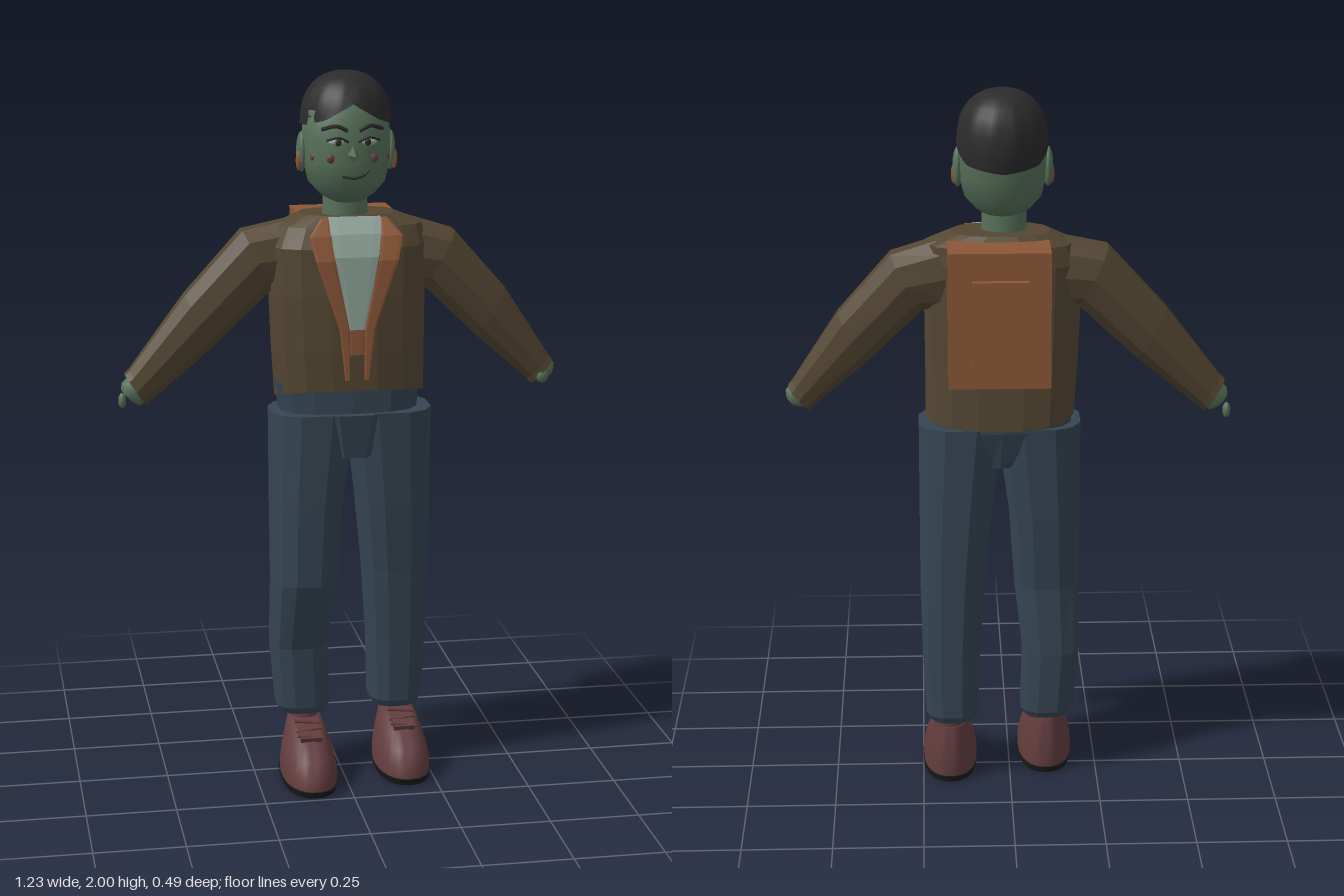
import * as THREE from 'three';
import { toCreasedNormals } from 'three/addons/utils/BufferGeometryUtils.js';

const mat = (name, color) => {
  const m = new THREE.MeshStandardMaterial({ color });
  m.name = name;
  return m;
};

export function createModel() {
  const skin = mat('skin', 0x567059), jacket = mat('jacket', 0x544733), denim = mat('denim', 0x364553);
  const leather = mat('shoeLeather', 0x633d3f), orange = mat('orangeBrown', 0x8c5738);
  const hairM = mat('hair', 0x2b2b2c), shirtM = mat('shirt', 0x90a59c), sole = mat('sole', 0x191919);
  const model = new THREE.Group();
  model.name = 'walkingFigure';

  const add = (name, geo, material, parent = model) => {
    const m = new THREE.Mesh(geo, material);
    m.name = name;
    parent.add(m);
    return m;
  };

  // Closed skin over rings of points, with both ends capped
  const FLAT = 0.02, SMOOTH = 0.9;
  function skinRings(rings, crease) {
    const n = rings[0].length, pos = [], idx = [];
    rings.forEach(r => r.forEach(p => pos.push(p.x, p.y, p.z)));
    for (let i = 0; i < rings.length - 1; i++) {
      for (let j = 0; j < n; j++) {
        const a = i * n + j, b = i * n + (j + 1) % n;
        idx.push(a, a + n, b, b, a + n, b + n);
      }
    }
    [0, rings.length - 1].forEach((r, end) => {
      const c = new THREE.Vector3();
      rings[r].forEach(p => c.addScaledVector(p, 1 / n));
      const k = pos.length / 3;
      pos.push(c.x, c.y, c.z);
      for (let j = 0; j < n; j++) {
        const a = r * n + j, b = r * n + (j + 1) % n;
        if (end) idx.push(k, b, a); else idx.push(k, a, b);
      }
    });
    const g = new THREE.BufferGeometry();
    g.setAttribute('position', new THREE.Float32BufferAttribute(pos, 3));
    g.setIndex(idx);
    return toCreasedNormals(g, crease);
  }

  // Section: two edge points in the front plane, back and front z, slope of y along z
  function loft(sections, n = 10, p = 1, crease = FLAT) {
    const pow = v => Math.sign(v) * Math.pow(Math.abs(v), p);
    return skinRings(sections.map(([x1, y1, x2, y2, z0, z1, k = 0]) =>
      Array.from({ length: n }, (_, j) => {
        const t = (j + 0.5) / n * Math.PI * 2, c = pow(Math.cos(t)), s = pow(Math.sin(t));
        const z = (z0 + z1) / 2 + s * (z1 - z0) / 2;
        return new THREE.Vector3((x1 + x2) / 2 + c * (x2 - x1) / 2, (y1 + y2) / 2 + c * (y2 - y1) / 2 + k * z, z);
      })), crease);
  }
  // Level section: height, x range, z range, slope
  const L = (y, x1, x2, z0, z1, k) => [x1, y, x2, y, z0, z1, k];

  const ball = (name, x, y, z, rx, ry, rz, material) => {
    const m = add(name, new THREE.SphereGeometry(1, 20, 12), material);
    m.position.set(x, y, z);
    m.scale.set(rx, ry, rz);
    return m;
  };
  const tube = (name, pts, r, material) => add(name, new THREE.TubeGeometry(
    new THREE.CatmullRomCurve3(pts.map(p => new THREE.Vector3(...p))), 14, r, 6), material);

  // Trousers
  add('rightTrouserLeg', loft([
    L(0.18, -0.17, -0.04, -0.08, 0.045), L(0.2, -0.185, -0.03, -0.09, 0.055), L(0.38, -0.2, -0.035, -0.095, 0.062),
    L(0.58, -0.2, -0.012, -0.08, 0.12), L(0.8, -0.2, 0.003, -0.1, 0.12), L(1.07, -0.2, 0.04, -0.115, 0.118)], 12, 0.75), denim);
  add('leftTrouserLeg', loft([
    L(0.18, 0.1, 0.23, -0.11, 0.03), L(0.2, 0.088, 0.242, -0.118, 0.04), L(0.38, 0.083, 0.25, -0.118, 0.047),
    L(0.6, 0.068, 0.255, -0.12, 0.065), L(0.8, 0.048, 0.255, -0.12, 0.09), L(1.07, 0.015, 0.255, -0.12, 0.112)], 12, 0.75), denim);
  add('waist', loft([L(0.95, -0.02, 0.075, -0.09, 0.08), L(1.06, -0.17, 0.215, -0.118, 0.1),
    L(1.15, -0.185, 0.225, -0.115, 0.1)], 14, 0.75), denim);
  add('fly', loft([L(0.945, -0.022, 0.075, 0.0, 0.105), L(1.07, -0.05, 0.1, 0.0, 0.126)], 8, 0.5), denim);

  // Shoes: right one steps slightly forward
  [['right', -0.105, 0.05], ['left', 0.172, 0]].forEach(([side, cx, dz]) => {
    const shoe = new THREE.Group();
    shoe.name = side + 'Shoe';
    shoe.position.set(cx, 0, dz);
    model.add(shoe);
    const S = (y, w, z0, z1, k) => L(y, -w, w, z0, z1, k);
    add('sole', loft([S(0, 0.075, -0.118, 0.186), S(0.018, 0.08, -0.122, 0.192)], 28, 0.85, SMOOTH), sole, shoe);
    add('upper', loft([S(0.016, 0.077, -0.12, 0.188), S(0.05, 0.077, -0.12, 0.185), S(0.09, 0.07, -0.117, 0.155),
      S(0.125, 0.06, -0.113, 0.105), S(0.15, 0.052, -0.108, 0.06), S(0.165, 0.045, -0.104, 0.0)], 28, 0.9, SMOOTH), leather, shoe);
    add('ankle', loft([S(0.14, 0.042, -0.1, -0.01), S(0.21, 0.042, -0.1, -0.02)], 14, 1, SMOOTH), leather, shoe);
    const tongue = add('tongue', new THREE.BoxGeometry(0.06, 0.014, 0.09), leather, shoe);
    tongue.position.set(0, 0.15, 0.05);
    tongue.rotation.x = 0.3;
    for (let i = 0; i < 3; i++) {
      const lace = add('lace', new THREE.CylinderGeometry(0.004, 0.004, 0.075, 6), leather, shoe);
      lace.position.set(0, 0.168 - i * 0.012, 0.03 + i * 0.028);
      lace.rotation.z = Math.PI / 2 + (i % 2 ? 0.12 : -0.12);
    }
  });

  // Jacket body with a lower back hem
  add('jacketBody', loft([
    L(1.11, -0.18, 0.235, -0.138, 0.11, 0.25), L(1.25, -0.19, 0.235, -0.13, 0.114), L(1.4, -0.196, 0.236, -0.13, 0.115),
    L(1.53, -0.2, 0.24, -0.13, 0.108), L(1.585, -0.175, 0.23, -0.122, 0.08), L(1.615, -0.11, 0.155, -0.1, 0.058)], 16, 0.75), jacket);
  // Sleeves
  add('rightSleeve', loft([
    [-0.11, 1.4, -0.15, 1.6, -0.1, 0.05], [-0.185, 1.405, -0.27, 1.575, -0.1, 0.05], [-0.35, 1.25, -0.43, 1.4, -0.085, 0.042],
    [-0.525, 1.105, -0.585, 1.195, -0.056, 0.032], [-0.538, 1.093, -0.598, 1.183, -0.056, 0.032]], 10, 0.9), jacket);
  add('leftSleeve', loft([
    [0.2, 1.6, 0.15, 1.4, -0.11, 0.045], [0.325, 1.56, 0.235, 1.4, -0.11, 0.045], [0.47, 1.395, 0.39, 1.25, -0.095, 0.035],
    [0.6, 1.195, 0.537, 1.125, -0.066, 0.014], [0.612, 1.18, 0.548, 1.11, -0.066, 0.014]], 10, 0.9), jacket);

  // Hands tucked in the cuffs
  add('rightHand', loft([
    [-0.525, 1.11, -0.58, 1.18, -0.045, 0.02], [-0.558, 1.092, -0.605, 1.158, -0.046, 0.022],
    [-0.572, 1.1, -0.608, 1.14, -0.04, 0.015]], 10, 1, SMOOTH), skin);
  ball('rightFinger', -0.602, 1.1, -0.042, 0.011, 0.022, 0.014, skin);
  add('leftHand', loft([
    [0.59, 1.19, 0.54, 1.13, -0.055, 0.005], [0.618, 1.168, 0.57, 1.118, -0.055, 0.005],
    [0.617, 1.15, 0.588, 1.12, -0.048, -0.002]], 10, 1, SMOOTH), skin);
  ball('leftThumb', 0.578, 1.135, 0.004, 0.018, 0.02, 0.012, skin);

  // Shirt front, lower panel and the two lapel trims
  const plate = (name, rows, material) =>
    add(name, loft(rows.map(([y, a, b, z]) => L(y, a, b, z - 0.009, z)), 8, 0.4), material);
  plate('shirtFront', [[1.31, 0.005, 0.053, 0.12], [1.51, -0.035, 0.09, 0.12], [1.57, -0.043, 0.1, 0.1], [1.613, -0.045, 0.103, 0.07]], shirtM);
  plate('frontPanel', [[1.24, 0.008, 0.05, 0.119], [1.31, 0.005, 0.053, 0.12]], orange);
  const trim = [[1.17, -0.004, 0.009, 0.122], [1.31, -0.02, 0.008, 0.123], [1.5, -0.085, -0.03, 0.122],
    [1.565, -0.1, -0.038, 0.102], [1.61, -0.062, -0.042, 0.072]];
  plate('rightLapelTrim', trim, orange);
  plate('leftLapelTrim', trim.map(([y, a, b, z]) => [y, 0.058 - b, 0.058 - a, z]), orange);

  // Backpack
  const box = (name, w, h, d, x, y, z) => add(name, new THREE.BoxGeometry(w, h, d), orange).position.set(x, y, z);
  box('backpack', 0.275, 0.375, 0.135, 0.032, 1.415, -0.157);
  box('backpackPocket', 0.15, 0.24, 0.03, 0.03, 1.408, -0.229);

  // Neck and head
  add('neck', loft([L(1.57, -0.05, 0.078, -0.055, 0.06), L(1.69, -0.046, 0.074, -0.05, 0.055)], 20, 1, SMOOTH), skin);
  add('head', loft([
    L(1.652, -0.028, 0.062, -0.04, 0.065), L(1.672, -0.058, 0.092, -0.07, 0.09), L(1.705, -0.088, 0.122, -0.09, 0.112),
    L(1.76, -0.101, 0.136, -0.105, 0.121), L(1.83, -0.104, 0.138, -0.11, 0.116), L(1.9, -0.096, 0.13, -0.108, 0.106),
    L(1.95, -0.06, 0.095, -0.08, 0.07)], 28, 0.95, SMOOTH), skin);

  // Hair: fluted cap whose hem arches over the forehead and drops at the back
  const hem = [[0, 0.062], [0.65, 0.018], [1.2, 0.0], [1.6, 0.0], [2.2, -0.05], [3.15, -0.066]];
  const hemAt = a => {
    const i = Math.max(1, hem.findIndex(h => h[0] >= a)), [a0, h0] = hem[i - 1], [a1, h1] = hem[i];
    return THREE.MathUtils.lerp(h0, h1, (a - a0) / (a1 - a0));
  };
  const hairRings = [];
  for (let i = 0; i <= 11; i++) {
    hairRings.push(Array.from({ length: 64 }, (_, j) => {
      const t = j / 64 * Math.PI * 2, off = Math.abs(Math.atan2(Math.cos(t), Math.sin(t)));
      const h = hemAt(off), u = i ? Math.sin((i - 1) / 10 * Math.PI / 2) : 0;
      const dy = THREE.MathUtils.lerp(h, 0.138, u);
      let r = Math.pow(1 - Math.pow(Math.min(1, Math.abs(dy) / 0.1405), 2.4), 0.45);
      if (dy > 0) r *= 1 - 0.025 * (1 + Math.cos(t * 12)) * u * (1 - u) * 4 * 0.5;
      if (!i) r *= 0.85;
      return new THREE.Vector3(0.019 + Math.cos(t) * r * 0.124, 1.86 + dy, -0.018 + Math.sin(t) * r * 0.136);
    }));
  }
  add('hair', skinRings(hairRings, 0.8), hairM);

  // Face, mirrored around the middle of the head
  const mid = 0.017;
  [-1, 1].forEach(s => {
    const X = d => mid + s * d, side = s < 0 ? 'right' : 'left';
    ball(side + 'Ear', X(0.122), 1.785, 0.0, 0.014, 0.055, 0.03, skin);
    ball(side + 'Earring', X(0.131), 1.762, 0.014, 0.009, 0.028, 0.009, orange);
    ball(side + 'Eye', X(0.042), 1.822, 0.108, 0.024, 0.011, 0.01, shirtM);
    ball(side + 'Iris', X(0.04), 1.822, 0.116, 0.009, 0.01, 0.005, hairM);
    tube(side + 'Lashes', [[X(0.014), 1.823, 0.122], [X(0.04), 1.836, 0.132], [X(0.072), 1.828, 0.118]], 0.0035, hairM);
    tube(side + 'Brow', [[X(0.016), 1.853, 0.122], [X(0.045), 1.866, 0.122], [X(0.082), 1.856, 0.1]], 0.006, hairM);
    ball(side + 'CheekSpot', X(0.058), 1.777, 0.106, 0.012, 0.012, 0.006, leather);
    ball(side + 'SideSpot', X(0.1), 1.777, 0.062, 0.008, 0.01, 0.01, leather);
  });
  const nose = add('nose', new THREE.ConeGeometry(0.02, 0.06, 4).toNonIndexed(), skin);
  nose.geometry.computeVertexNormals();
  nose.position.set(mid, 1.788, 0.135);
  nose.rotation.x = Math.PI / 2;
  nose.scale.z = 1.5;
  tube('mouth', [[-0.012, 1.73, 0.117], [0.02, 1.725, 0.121], [0.045, 1.732, 0.116], [0.06, 1.745, 0.111]], 0.0035, hairM);

  return model;
}
